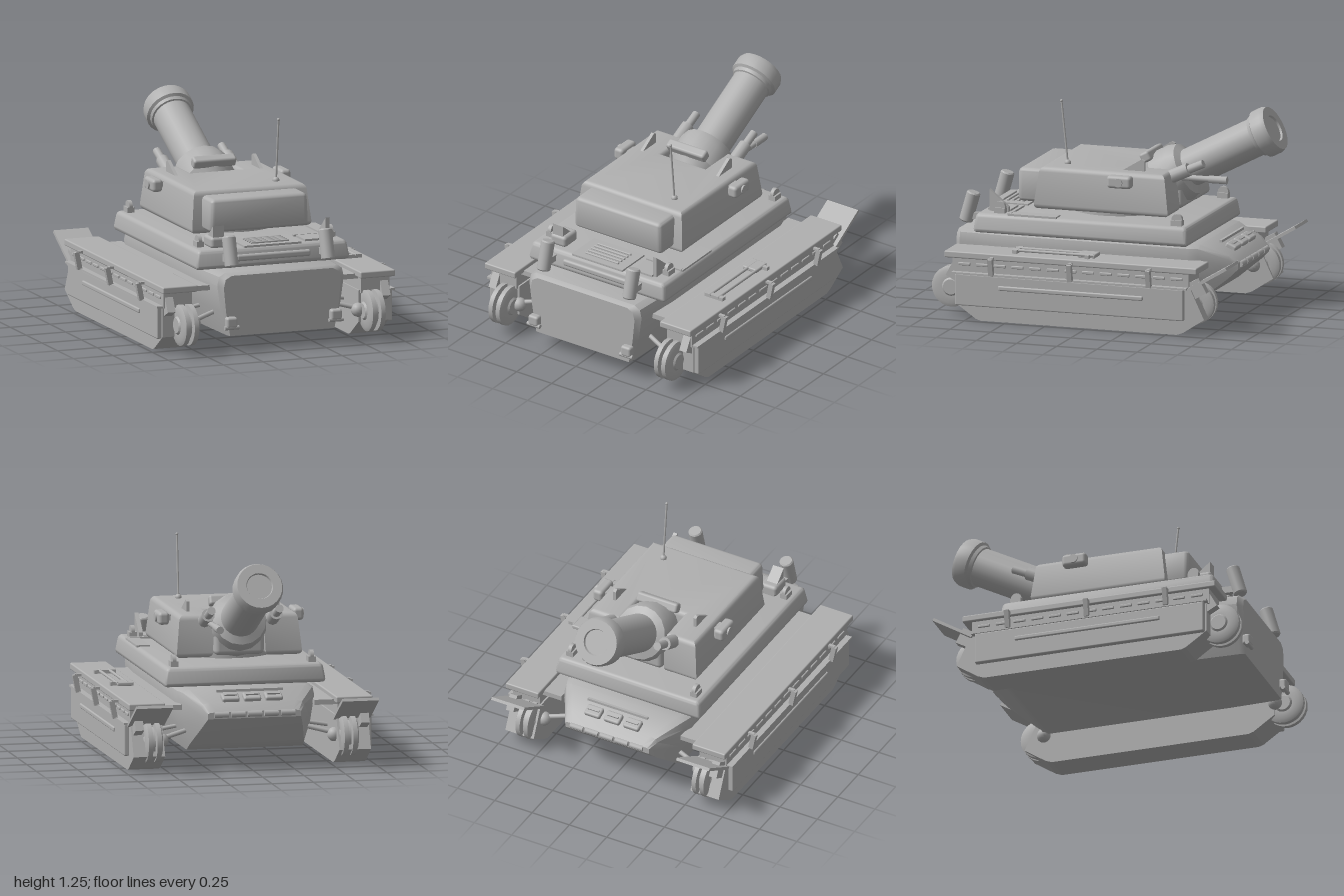
import * as THREE from 'three';
import { toCreasedNormals } from 'three/addons/utils/BufferGeometryUtils.js';
import { RoundedBoxGeometry } from 'three/addons/geometries/RoundedBoxGeometry.js';

const grey = new THREE.MeshStandardMaterial({ color: 0xb0b0b0 });
grey.name = 'armourGrey';

const crease = (g) => toCreasedNormals(g, 0.6);
const box = (w, h, d) => new THREE.BoxGeometry(w, h, d);
const rbox = (w, h, d, r) => new RoundedBoxGeometry(w, h, d, 3, r);
const cyl = (r1, r2, h, n = 20) => new THREE.CylinderGeometry(r1, r2, h, n);
const lathe = (pts, n = 24) => crease(new THREE.LatheGeometry(pts.map((p) => new THREE.Vector2(...p)), n));

function add(parent, name, geo, pos = [0, 0, 0], rot = [0, 0, 0]) {
  const m = new THREE.Mesh(geo, grey);
  m.name = name;
  m.position.set(...pos);
  m.rotation.set(...rot);
  parent.add(m);
  return m;
}

// Same part on both sides of the centre line
function pair(parent, name, geo, [x, y, z], [rx, ry, rz] = [0, 0, 0]) {
  add(parent, name + 'Left', geo, [x, y, z], [rx, ry, rz]);
  add(parent, name + 'Right', geo, [-x, y, z], [rx, -ry, -rz]);
}

// Cylinder running between two points
function rod(parent, name, a, b, r) {
  const p = new THREE.Vector3(...a), q = new THREE.Vector3(...b), d = q.clone().sub(p);
  const m = add(parent, name, cyl(r, r, d.length(), 10), p.add(q).multiplyScalar(0.5).toArray());
  m.quaternion.setFromUnitVectors(new THREE.Vector3(0, 1, 0), d.normalize());
}

// Narrow a geometry in x and z towards its top
function taper(g, sx, sz) {
  g.computeBoundingBox();
  const { min, max } = g.boundingBox, p = g.attributes.position, cz = (min.z + max.z) / 2;
  for (let i = 0; i < p.count; i++) {
    const t = (p.getY(i) - min.y) / (max.y - min.y);
    p.setX(i, p.getX(i) * (1 + (sx - 1) * t));
    p.setZ(i, cz + (p.getZ(i) - cz) * (1 + (sz - 1) * t));
  }
  g.computeVertexNormals();
  return crease(g);
}

// Side profile given as (z, y), extruded across x and centred
function sideProfile(pts, width) {
  const s = new THREE.Shape(pts.map(([z, y]) => new THREE.Vector2(-z, y)));
  return new THREE.ExtrudeGeometry(s, { depth: width, bevelEnabled: false })
    .translate(0, 0, -width / 2).rotateY(Math.PI / 2);
}

// Hull lofted through stations: z, bottom y, top y, bottom half width, top half width
function hullGeometry() {
  const stations = [
    [0.93, 0.10, 0.46, 0.33, 0.37], [0.90, 0.10, 0.475, 0.34, 0.40], [0.6, 0.10, 0.475, 0.35, 0.42],
    [-0.52, 0.10, 0.475, 0.35, 0.42], [-0.58, 0.14, 0.47, 0.345, 0.40],
    [-0.74, 0.27, 0.41, 0.30, 0.31], [-0.79, 0.32, 0.36, 0.28, 0.28]];
  const pos = [], idx = [], n = 10;
  for (const [z, yb, yt, wb, wt] of stations) {
    const h = yt - yb;
    const half = [[wb, yb], [wb + (wt - wb) * 0.65, yb + h * 0.4], [wt, yb + h * 0.8], [wt - 0.012, yt - h * 0.06], [wt - 0.05, yt]];
    const ring = [...half, ...half.map(([x, y]) => [-x, y]).reverse()];
    for (const [x, y] of ring) pos.push(x, y, z);
  }
  const last = (stations.length - 1) * n;
  for (let i = 0; i < last; i += n) for (let j = 0; j < n; j++) {
    const k = (j + 1) % n;
    idx.push(i + j, i + n + j, i + k, i + k, i + n + j, i + n + k);
  }
  for (let j = 1; j < n - 1; j++) idx.push(0, j, j + 1, last, last + j + 1, last + j);
  const g = new THREE.BufferGeometry();
  g.setAttribute('position', new THREE.Float32BufferAttribute(pos, 3));
  g.setIndex(idx);
  g.computeVertexNormals();
  return crease(g);
}

function buildHull(g) {
  add(g, 'hull', hullGeometry());
  add(g, 'upperDeck', taper(rbox(0.98, 0.115, 1.34, 0.025), 0.96, 0.975), [0, 0.533, 0.122]);
  add(g, 'rearBar', rbox(0.47, 0.04, 0.03, 0.014), [0, 0.533, 0.785]);
  add(g, 'enginePlate', box(0.36, 0.012, 0.23), [0, 0.595, 0.665]);
  for (let i = 0; i < 5; i++) add(g, 'engineSlat', rbox(0.24, 0.014, 0.016, 0.005), [0, 0.605, 0.6 + i * 0.032]);
  add(g, 'deckPlate', box(0.08, 0.012, 0.30), [0.43, 0.593, 0.425]);
  add(g, 'deckStrip', box(0.25, 0.014, 0.02), [0.335, 0.594, 0.57]);
  add(g, 'deckCan', rbox(0.11, 0.07, 0.13, 0.02), [-0.315, 0.62, 0.665]);
  const fin = [[0.72, 0.59], [0.72, 0.72], [0.60, 0.62], [0.60, 0.59]];
  add(g, 'deckWedgeRight', sideProfile(fin, 0.07), [-0.32, 0, 0]);
  add(g, 'deckWedgeLeft', sideProfile(fin, 0.025), [0.37, 0, 0]);
  add(g, 'deckBoxLeft', box(0.14, 0.015, 0.14), [0.29, 0.595, 0.665]);
  for (const z of [0.64, -0.46]) {
    pair(g, 'liftingLug', cyl(0.033, 0.033, 0.022), [0.415, 0.627, z], [0, 0, Math.PI / 2]);
    pair(g, 'lugBase', box(0.045, 0.035, 0.066), [0.415, 0.605, z]);
  }
  // Canisters and hooks on the flat end
  pair(g, 'canister', lathe([[0, -0.092], [0.034, -0.092], [0.041, -0.084], [0.041, 0.084], [0.034, 0.092], [0, 0.092]]), [0.305, 0.592, 0.868], [-0.28, 0, 0]);
  pair(g, 'canisterBracket', box(0.03, 0.04, 0.08), [0.305, 0.54, 0.82]);
  pair(g, 'towHook', rbox(0.07, 0.065, 0.05, 0.015), [0.33, 0.185, 0.945]);
  pair(g, 'towHookPin', cyl(0.013, 0.013, 0.09, 10), [0.33, 0.155, 0.955], [0, 0, Math.PI / 2]);
  // Sloped end: lamp blocks and hinge rail
  for (const x of [-0.13, 0, 0.13]) {
    add(g, 'lampBlock', rbox(0.105, 0.035, 0.07, 0.012), [x, 0.43, -0.71], [-0.4, 0, 0]);
    add(g, 'lampCrossbar', box(0.075, 0.01, 0.012), [x, 0.45, -0.718], [-0.4, 0, 0]);
  }
  add(g, 'lampRail', box(0.40, 0.015, 0.016), [0, 0.465, -0.655]);
  for (let i = -2; i <= 2; i++) add(g, 'hingeKnuckle', cyl(0.018, 0.018, 0.085, 10), [i * 0.1, 0.345, -0.79], [0, 0, Math.PI / 2]);
}

function buildTracks(g) {
  const track = sideProfile([[0.82, 0.29], [0.82, 0.10], [0.69, 0.01], [0.66, 0], [-0.56, 0], [-0.60, 0.015], [-0.73, 0.10], [-0.64, 0.29]], 0.19);
  pair(g, 'trackBody', track, [0.62, 0, 0]);
  pair(g, 'trackTop', box(0.18, 0.1, 1.47), [0.625, 0.325, 0.10]);
  pair(g, 'skirt', rbox(0.035, 0.19, 1.42, 0.008), [0.728, 0.185, 0.10]);
  pair(g, 'skirtLedge', box(0.04, 0.012, 1.46), [0.732, 0.283, 0.10]);
  pair(g, 'skirtRib', rbox(0.022, 0.028, 0.90, 0.008), [0.744, 0.21, 0.09]);
  pair(g, 'fender', rbox(0.22, 0.04, 1.57, 0.008), [0.625, 0.39, 0.095]);
  pair(g, 'innerShelf', box(0.14, 0.03, 1.41), [0.47, 0.37, 0.085]);
  pair(g, 'mudFlap', box(0.22, 0.018, 0.28), [0.62, 0.347, -0.752], [0.54, 0, 0]);
  for (const z of [-0.40, 0.09, 0.58]) {
    pair(g, 'skirtClamp', box(0.03, 0.105, 0.028), [0.764, 0.335, z], [0, 0, -0.2]);
    pair(g, 'clampArm', box(0.07, 0.014, 0.02), [0.74, 0.385, z]);
    for (const s of [1, -1]) rod(g, 'suspensionArm', [s * 0.36, 0.23, z], [s * 0.56, 0.195, z], 0.012);
  }
  for (let i = 0; i < 13; i++) pair(g, 'skirtSlot', rbox(0.012, 0.018, 0.075, 0.005), [0.717, 0.335, 0.76 - i * 0.11]);
  // End wheels with paired rims, hubs and axles
  const wheel = lathe([[0, -0.06], [0.045, -0.06], [0.055, -0.05], [0.10, -0.05], [0.122, -0.04], [0.122, -0.012], [0.09, -0.008],
    [0.09, 0.008], [0.122, 0.012], [0.122, 0.04], [0.10, 0.05], [0.055, 0.05], [0.045, 0.06], [0, 0.06]], 28);
  for (const z of [0.87, -0.64]) {
    pair(g, 'endWheel', wheel, [0.59, 0.175, z], [0, 0, Math.PI / 2]);
    pair(g, 'wheelHub', new THREE.SphereGeometry(0.042, 16, 10), [0.52, 0.175, z * 0.95]);
    pair(g, 'wheelBracket', box(0.05, 0.10, 0.22), [0.68, 0.25, z > 0 ? 0.76 : -0.62], [z > 0 ? -0.5 : 0.5, 0, 0]);
    for (const s of [1, -1]) rod(g, 'wheelAxle', [s * 0.34, 0.23, z * 0.88], [s * 0.54, 0.18, z * 0.95], 0.014);
  }
  // Jack stowed on the left fender
  add(g, 'jackHead', rbox(0.10, 0.025, 0.11, 0.008), [0.605, 0.42, 0.025]);
  add(g, 'jackClamp', box(0.13, 0.022, 0.03), [0.62, 0.42, 0.46]);
  add(g, 'jackClamp', box(0.12, 0.022, 0.025), [0.63, 0.42, 0.01]);
  for (const x of [0.59, 0.65]) rod(g, 'jackRod', [x, 0.425, -0.02], [x, 0.425, 0.48], 0.009);
}

function buildTurret(g) {
  // Turret body with a mouth cut for the gun
  const s = new THREE.Shape();
  [[-0.35, -0.42], [0.35, -0.42], [0.35, 0.36], [0.19, 0.36], [0.19, 0.11], [-0.19, 0.11], [-0.19, 0.36], [-0.35, 0.36]]
    .forEach(([x, y], i) => (i ? s.lineTo(x, y) : s.moveTo(x, y)));
  const body = new THREE.ExtrudeGeometry(s, { depth: 0.19, bevelThickness: 0.03, bevelSize: 0.03, bevelSegments: 4 });
  body.rotateX(-Math.PI / 2);
  add(g, 'turretBody', taper(body, 0.93, 0.92), [0, 0.65, 0]);
  add(g, 'turretRing', cyl(0.30, 0.30, 0.06, 40), [0, 0.605, 0.04]);
  add(g, 'turretBustle', taper(rbox(0.63, 0.20, 0.22, 0.03), 0.97, 1), [0, 0.745, 0.46]);
  pair(g, 'sightPod', rbox(0.065, 0.075, 0.15, 0.02), [0.405, 0.825, -0.10]);
  pair(g, 'sightLens', cyl(0.026, 0.026, 0.02), [0.437, 0.825, -0.10], [0, 0, Math.PI / 2]);
  pair(g, 'sightMount', box(0.06, 0.035, 0.07), [0.36, 0.825, -0.10]);
  pair(g, 'topFin', sideProfile([[-0.06, 0.86], [-0.19, 0.94], [-0.21, 0.93], [-0.21, 0.86]], 0.02), [0.27, 0, 0]);
  // Antenna
  add(g, 'antennaBase', new THREE.SphereGeometry(0.02, 14, 10), [0.215, 0.875, 0.29]);
  rod(g, 'antenna', [0.215, 0.87, 0.29], [0.215, 1.25, 0.33], 0.006);
  add(g, 'antennaTip', new THREE.SphereGeometry(0.009, 10, 8), [0.215, 1.245, 0.33]);
  // Launchers beside the gun
  for (const x of [0.205, -0.205]) {
    rod(g, 'launcherBody', [x, 0.825, -0.33], [x, 0.885, -0.46], 0.04);
    rod(g, 'launcherTube', [x, 0.875, -0.44], [x, 0.925, -0.55], 0.025);
  }
  rod(g, 'machineGun', [0.185, 0.83, -0.35], [0.185, 0.83, -0.60], 0.018);
  rod(g, 'machineGunMuzzle', [0.185, 0.83, -0.58], [0.185, 0.83, -0.69], 0.023);
}

function buildGun(g) {
  // Local y runs along the bore, with the muzzle at zero
  const gun = new THREE.Group();
  gun.name = 'gun';
  gun.position.set(0, 1.125, -0.925);
  gun.rotation.x = -1.091;
  g.add(gun);
  add(gun, 'barrel', cyl(0.115, 0.115, 0.70, 28), [0, -0.40, 0]);
  add(gun, 'muzzleRing', lathe([[0.112, -0.125], [0.125, -0.12], [0.13, -0.10], [0.146, -0.09], [0.146, -0.025], [0.135, 0], [0.08, 0], [0.075, -0.012], [0, -0.012]]));
  add(gun, 'mantletCollar', lathe([[0, -0.84], [0.13, -0.84], [0.175, -0.78], [0.175, -0.66], [0.16, -0.61], [0.115, -0.59]], 16));
  add(g, 'breechBlock', rbox(0.27, 0.06, 0.06, 0.015), [0, 0.92, -0.16], [0.48, 0, 0]);
  add(g, 'gunCradle', rbox(0.30, 0.16, 0.22, 0.03), [0, 0.71, -0.29]);
}

export function createModel() {
  const model = new THREE.Group();
  model.name = 'tank';
  for (const [name, build] of [['hullGroup', buildHull], ['trackGroup', buildTracks], ['turretGroup', buildTurret], ['gunGroup', buildGun]]) {
    const part = new THREE.Group();
    part.name = name;
    build(part);
    model.add(part);
  }
  return model;
}
